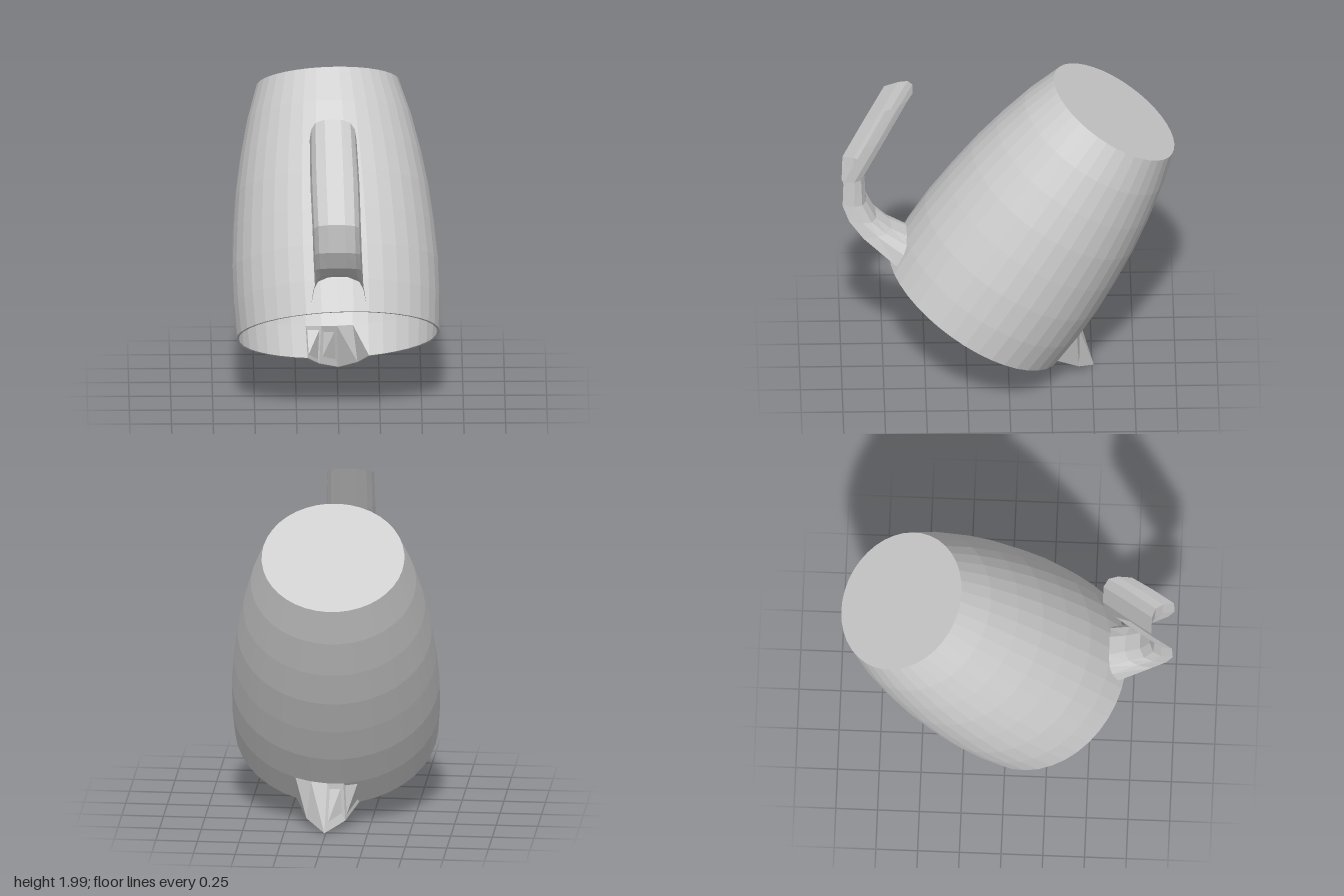
import * as THREE from 'three';

const material = new THREE.MeshStandardMaterial({
  color: 0xcccccc, flatShading: true, side: THREE.DoubleSide,
});

// Thin-walled bulging jug body; the wall is pushed out at local -z into a pouring lip
function bodyGeometry() {
  const outer = [[0.61, 0], [0.622, 0.2], [0.622, 0.42], [0.606, 0.65], [0.582, 0.88], [0.545, 1.1], [0.495, 1.33], [0.428, 1.55]];
  const wall = 0.015;
  const inner = outer.map(([r, y]) => [r - wall, Math.min(y, 1.55 - wall)]).reverse();
  const profile = [[0, 1.55 - wall], ...inner, ...outer, [0, 1.55]];
  const geo = new THREE.LatheGeometry(profile.map(([r, y]) => new THREE.Vector2(r, y)), 40);
  const pos = geo.attributes.position;
  const spoutHalfAngle = 0.314, spoutHeight = 0.2, spoutReach = 0.235;
  for (let i = 0; i < pos.count; i++) {
    const x = pos.getX(i), y = pos.getY(i), z = pos.getZ(i);
    const r = Math.hypot(x, z);
    if (r < 0.5 || y >= spoutHeight) continue;
    const side = 1 - Math.abs(Math.atan2(x, -z)) / spoutHalfAngle;
    if (side <= 0) continue;
    const scale = 1 + spoutReach * Math.min(1, side * 1.15) * (1 - y / spoutHeight) / r;
    pos.setX(i, x * scale);
    pos.setZ(i, z * scale);
  }
  geo.computeVertexNormals();
  return geo;
}

// Handle: a U-shaped channel swept through stations, open on the side away from the body
function handleGeometry() {
  // [floor z, floor y, edge z, edge y, centre x, half width]
  const stations = [
    [0.58, 0.97, 0.67, 0.83, 0.0, 0.165],
    [0.70, 1.03, 0.87, 1.02, 0.0, 0.145],
    [0.79, 1.10, 0.955, 1.14, -0.005, 0.145],
    [0.85, 1.22, 0.995, 1.25, -0.01, 0.145],
    [0.86, 1.40, 0.99, 1.41, -0.015, 0.145],
    [0.715, 1.685, 0.865, 1.655, -0.025, 0.147],
    [0.57, 1.97, 0.74, 1.90, -0.035, 0.14],
  ];
  // [across, depth] of the channel section
  const section = [[-1, 1], [-0.93, 0.5], [-0.75, 0.18], [-0.35, 0.02], [0.35, 0.02], [0.75, 0.18], [0.93, 0.5], [1, 1]];
  const points = [], index = [], n = section.length;
  stations.forEach(([fz, fy, ez, ey, cx, w], s) => {
    section.forEach(([a, d], k) => {
      points.push(cx + a * w, fy + (ey - fy) * d, fz + (ez - fz) * d);
      if (s > 0 && k > 0) {
        const p = (s - 1) * n + k - 1, q = p + n;
        index.push(p, p + 1, q, p + 1, q + 1, q);
      }
    });
  });
  const geo = new THREE.BufferGeometry();
  geo.setAttribute('position', new THREE.Float32BufferAttribute(points, 3));
  geo.setIndex(index);
  geo.computeVertexNormals();
  return geo;
}

export function createModel() {
  const model = new THREE.Group();
  model.name = 'jug';

  // Upturned and tilted body, open rim facing down and forward
  const body = new THREE.Mesh(bodyGeometry(), material);
  body.name = 'bodyWithSpout';
  const axis = new THREE.Vector3(-0.055, 1.305, -0.835).normalize();
  body.quaternion.setFromUnitVectors(new THREE.Vector3(0, 1, 0), axis);
  body.position.set(0, 0.47, 0.2);
  model.add(body);

  const handle = new THREE.Mesh(handleGeometry(), material);
  handle.name = 'handle';
  model.add(handle);

  return model;
}
